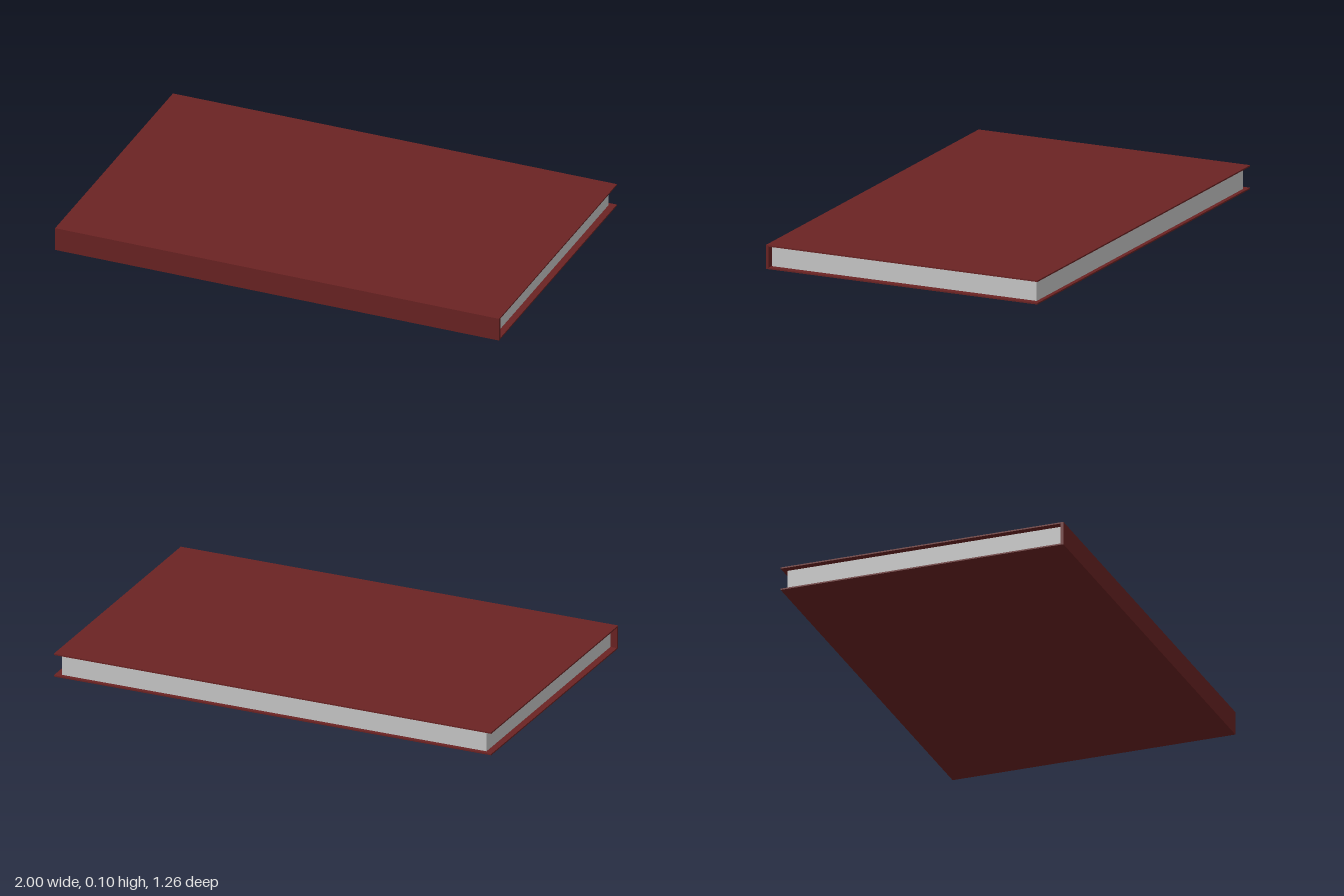
import * as THREE from 'three';

const WIDTH = 2, HEIGHT = 0.103, DEPTH = 1.256;
const BOARD = 0.006;   // cover board thickness
const SPINE = 0.013;   // spine thickness
const INSET_X = 0.03;  // pages set back from the cover at both ends
const INSET_Z = 0.018; // pages set back from the cover at the opening edge

export function createModel() {
  const book = new THREE.Group();
  book.name = 'book';

  const coverRed = new THREE.MeshStandardMaterial({ color: 0x6b2323 });
  coverRed.name = 'coverRed';
  const paperGrey = new THREE.MeshStandardMaterial({ color: 0xcacaca });
  paperGrey.name = 'paperGrey';

  const addBox = (name, material, [w, h, d], y, z) => {
    const mesh = new THREE.Mesh(new THREE.BoxGeometry(w, h, d), material);
    mesh.name = name;
    mesh.position.set(0, y, z);
    book.add(mesh);
  };

  // Cover boards
  addBox('backCover', coverRed, [WIDTH, BOARD, DEPTH], BOARD / 2, 0);
  addBox('frontCover', coverRed, [WIDTH, BOARD, DEPTH], HEIGHT - BOARD / 2, 0);

  // Spine closes the front side between the boards
  const inner = HEIGHT - 2 * BOARD;
  addBox('spine', coverRed, [WIDTH, inner, SPINE], HEIGHT / 2, (DEPTH - SPINE) / 2);

  // Page block
  const pageDepth = DEPTH - SPINE - INSET_Z;
  addBox('pages', paperGrey, [WIDTH - 2 * INSET_X, inner, pageDepth], HEIGHT / 2, (INSET_Z - SPINE) / 2);

  return book;
}
